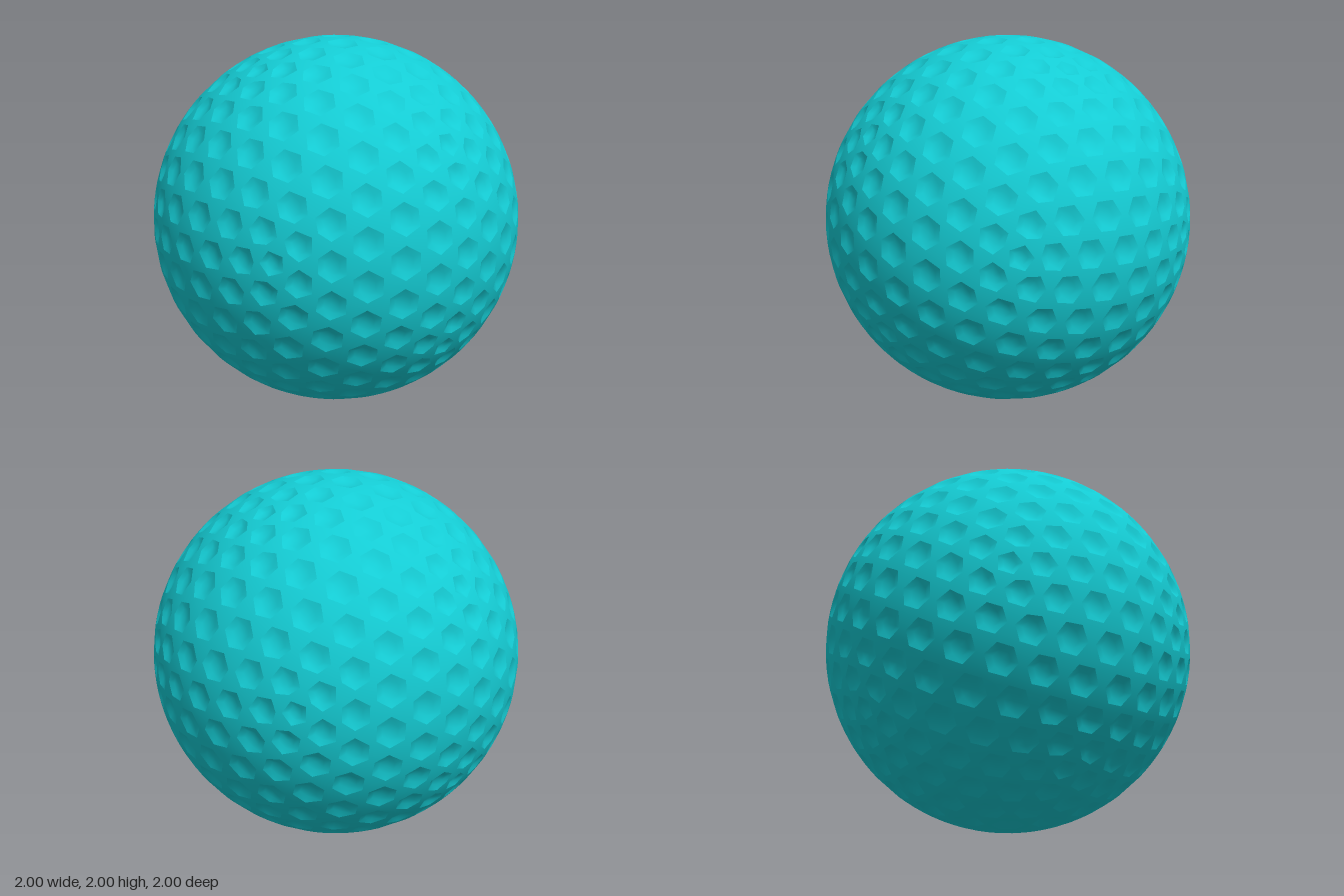
import * as THREE from 'three';
import { mergeVertices } from 'three/addons/utils/BufferGeometryUtils.js';

const RADIUS = 1.0034; // rims of the topmost dimples touch y = 2
const RIM = 0.405;     // rim distance as a share of the dimple spacing
const DEPTH = 0.022;   // depth of a dimple at its middle
const RINGS = [0.55, 1]; // rings of a dimple, from the middle to the rim

// Point on the way from dimple centre a to its neighbour b, pushed to a radius
const towards = (a, b, share, radius = RADIUS) => a.clone().lerp(b, share).setLength(radius);

function smoothGeometry(points) {
  const soup = new THREE.BufferGeometry().setFromPoints(points);
  const geometry = mergeVertices(soup);
  geometry.computeVertexNormals();
  return geometry;
}

// One slice of a dimple: the part that lies in the corner a of a grid triangle
function addDimpleSlice(out, a, b, c) {
  const middle = a.clone().setLength(RADIUS - DEPTH);
  let p, q;
  for (const f of RINGS) {
    const radius = RADIUS - DEPTH * (1 - f * f);
    const p2 = towards(a, b, RIM * f, radius);
    const q2 = towards(a, c, RIM * f, radius);
    if (!p) out.push(middle, p2, q2);
    else out.push(p, p2, q2, p, q2, q);
    p = p2;
    q = q2;
  }
}

// The shell left in a grid triangle once its three corners are cut away
function addShellPatch(out, a, b, c) {
  const centre = a.clone().add(b).add(c).setLength(RADIUS);
  const rim = [
    towards(a, b, RIM), towards(b, a, RIM), towards(b, c, RIM),
    towards(c, b, RIM), towards(c, a, RIM), towards(a, c, RIM),
  ];
  rim.forEach((p, i) => out.push(centre, p, rim[(i + 1) % 6]));
}

export function createModel() {
  const ball = new THREE.Group();
  ball.name = 'dimpledBall';
  const material = new THREE.MeshStandardMaterial({ color: 0x14ccd4 });

  // Geodesic grid: every vertex is the centre of a dimple
  const grid = new THREE.IcosahedronGeometry(1, 5).toNonIndexed().getAttribute('position');
  const shellPoints = [];
  const dimplePoints = [];
  for (let i = 0; i < grid.count; i += 3) {
    const [a, b, c] = [0, 1, 2].map((k) => new THREE.Vector3().fromBufferAttribute(grid, i + k));
    addShellPatch(shellPoints, a, b, c);
    addDimpleSlice(dimplePoints, a, b, c);
    addDimpleSlice(dimplePoints, b, c, a);
    addDimpleSlice(dimplePoints, c, a, b);
  }

  // Separate meshes keep the dimple rims sharp
  const shell = new THREE.Mesh(smoothGeometry(shellPoints), material);
  shell.name = 'shell';
  const dimples = new THREE.Mesh(smoothGeometry(dimplePoints), material);
  dimples.name = 'dimples';
  for (const mesh of [shell, dimples]) {
    mesh.position.y = 1;
    ball.add(mesh);
  }
  return ball;
}
